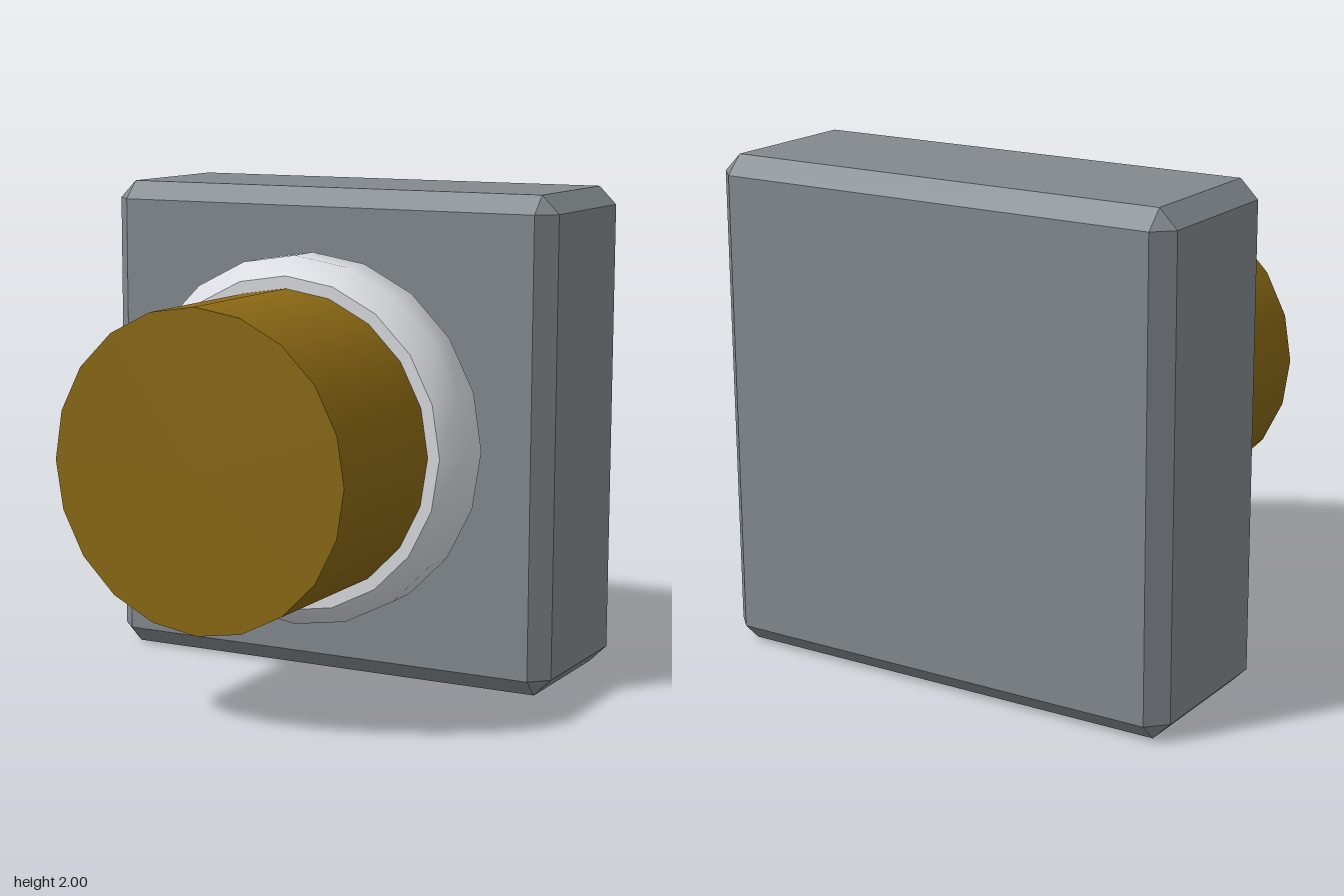
import * as THREE from 'three';
import { ConvexGeometry } from 'three/addons/geometries/ConvexGeometry.js';

const SIDES = 20;

// Box with flat chamfers on every edge and triangular cut corners
function chamferedBox(w, h, d, c) {
  const half = [w / 2, h / 2, d / 2];
  const points = [];
  for (const sx of [-1, 1]) for (const sy of [-1, 1]) for (const sz of [-1, 1]) {
    const sign = [sx, sy, sz];
    for (let axis = 0; axis < 3; axis++) {
      const p = half.map((v, i) => sign[i] * (i === axis ? v : v - c));
      points.push(new THREE.Vector3(...p));
    }
  }
  return new ConvexGeometry(points);
}

export function createModel() {
  const model = new THREE.Group();
  model.name = 'wallKnob';

  const blockGrey = new THREE.MeshStandardMaterial({ color: 0x83898e });
  blockGrey.name = 'blockGrey';
  const collarSilver = new THREE.MeshStandardMaterial({ color: 0xd9dbe0 });
  collarSilver.name = 'collarSilver';
  const darkBrass = new THREE.MeshStandardMaterial({ color: 0x8b6914 });
  darkBrass.name = 'darkBrass';

  const add = (name, geometry, material, z) => {
    const mesh = new THREE.Mesh(geometry, material);
    mesh.name = name;
    mesh.position.set(0, 1, z);
    model.add(mesh);
  };

  // Square mounting block
  add('block', chamferedBox(2, 2, 0.75, 0.073), blockGrey, -0.5);

  // Smooth bevelled collar with flat front and back faces
  const profile = [[0.675, -0.15], [0.75, -0.075], [0.75, 0.075], [0.675, 0.15]]
    .map(([r, y]) => new THREE.Vector2(r, y));
  add('collar', new THREE.LatheGeometry(profile, SIDES).rotateX(Math.PI / 2), collarSilver, 0.025);
  add('collarFace', new THREE.CircleGeometry(0.675, SIDES), collarSilver, 0.175);
  add('collarBack', new THREE.CircleGeometry(0.675, SIDES).rotateY(Math.PI), collarSilver, -0.125);

  // Round shaft
  add('shaft', new THREE.CylinderGeometry(0.625, 0.625, 0.75, SIDES).rotateX(Math.PI / 2), darkBrass, 0.5);

  return model;
}
